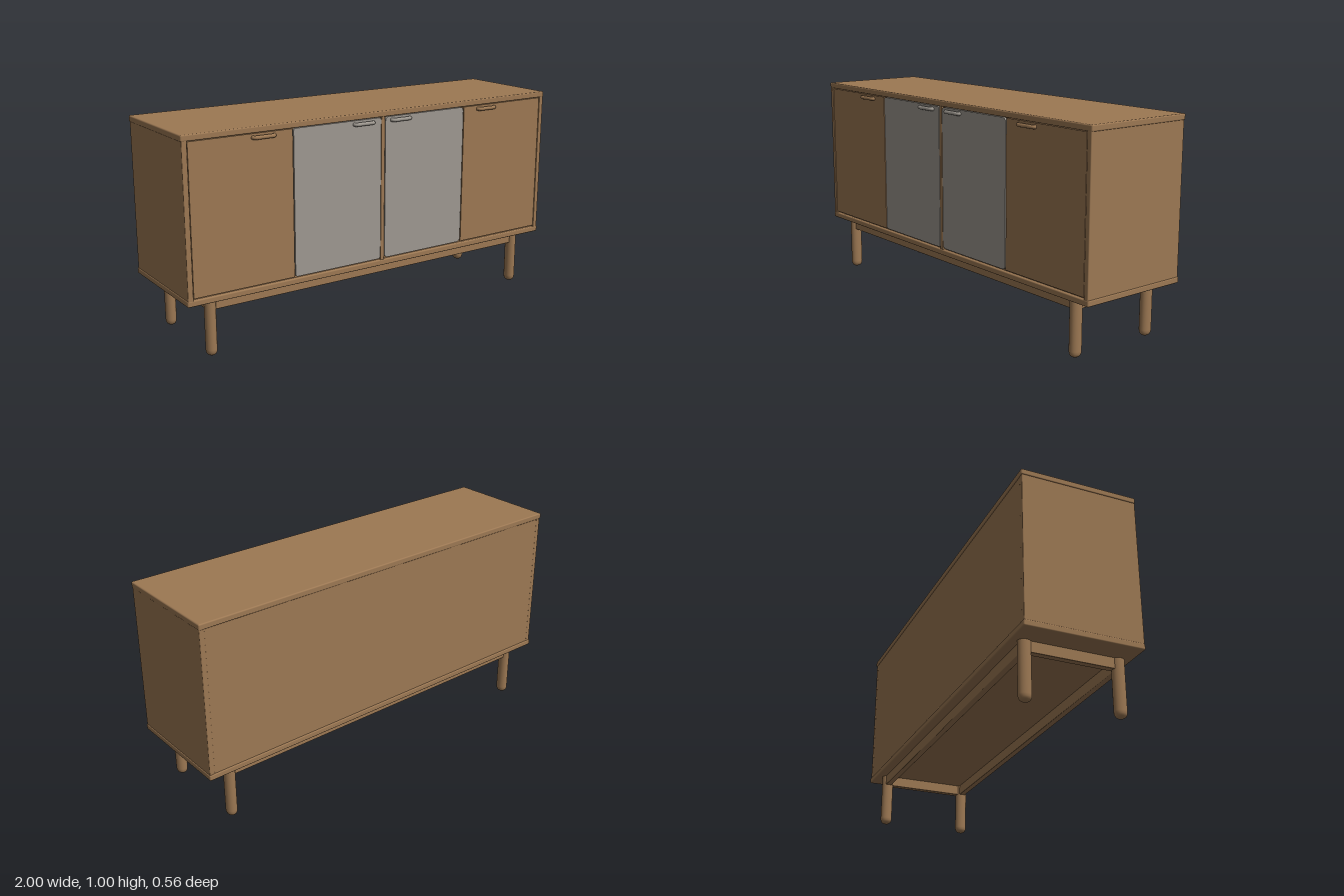
import * as THREE from 'three';
import { RoundedBoxGeometry } from 'three/addons/geometries/RoundedBoxGeometry.js';

const wood = new THREE.MeshStandardMaterial({ color: 0x9c7853 });
wood.name = 'warm wood';
const grey = new THREE.MeshStandardMaterial({ color: 0x9e9890 });
grey.name = 'warm grey';

export function createModel() {
  const model = new THREE.Group();
  model.name = 'sideboard';

  const add = (name, geometry, material, x = 0, y = 0, z = 0) => {
    const mesh = new THREE.Mesh(geometry, material);
    mesh.name = name;
    mesh.position.set(x, y, z);
    model.add(mesh);
    return mesh;
  };
  // Softened box given by its limits on each axis
  const slab = (name, [x0, x1], [y0, y1], [z0, z1], r = 0.004, material = wood) =>
    add(name, new RoundedBoxGeometry(x1 - x0, y1 - y0, z1 - z0, 2, r), material,
      (x0 + x1) / 2, (y0 + y1) / 2, (z0 + z1) / 2);

  // Cabinet shell
  slab('topPanel', [-1, 1], [0.972, 1], [-0.28, 0.264], 0.006);
  slab('bottomPanel', [-1, 1], [0.262, 0.29], [-0.28, 0.264], 0.006);
  for (const s of [-1, 1]) {
    const edges = [s * 0.972, s * 0.997].sort((a, b) => a - b);
    slab('sidePanel', edges, [0.28, 0.98], [-0.276, 0.263]);
  }
  slab('carcass', [-0.98, 0.98], [0.28, 0.98], [-0.275, 0.25]);

  // Doors, with narrow gaps between them; the middle pair has rounded corners
  const door = (name, x0, x1, material, r) => {
    const y0 = 0.297, y1 = 0.97;
    const s = new THREE.Shape();
    s.moveTo(x0 + r, y0);
    s.lineTo(x1 - r, y0);
    s.quadraticCurveTo(x1, y0, x1, y0 + r);
    s.lineTo(x1, y1 - r);
    s.quadraticCurveTo(x1, y1, x1 - r, y1);
    s.lineTo(x0 + r, y1);
    s.quadraticCurveTo(x0, y1, x0, y1 - r);
    s.lineTo(x0, y0 + r);
    s.quadraticCurveTo(x0, y0, x0 + r, y0);
    add(name, new THREE.ExtrudeGeometry(s, { depth: 0.014, bevelEnabled: false, curveSegments: 6 }),
      material, 0, 0, 0.247);
  };
  door('rightOuterDoor', -0.97, -0.477, wood, 0.004);
  door('rightInnerDoor', -0.472, -0.01, grey, 0.012);
  door('leftInnerDoor', 0.015, 0.474, grey, 0.02);
  door('leftOuterDoor', 0.479, 0.97, wood, 0.004);
  slab('centreDivider', [-0.008, 0.012], [0.287, 0.975], [0.24, 0.261], 0.002);

  // Pull handles: bent bars with both ends meeting the door
  const w = 0.05;
  const bend = new THREE.CatmullRomCurve3([
    [-w, 0, -0.018], [-w, 0, -0.006], [-w + 0.008, 0, 0], [0, 0, 0],
    [w - 0.008, 0, 0], [w, 0, -0.006], [w, 0, -0.018],
  ].map((p) => new THREE.Vector3(...p)), false, 'centripetal');
  const handleGeometry = new THREE.TubeGeometry(bend, 36, 0.009, 10);
  for (const [x, material] of [[-0.62, wood], [-0.107, grey], [0.1, grey], [0.615, wood]]) {
    add('handle', handleGeometry, material, x, 0.953, 0.272);
  }

  // Round legs with softened feet, slightly deeper than wide
  const legGeometry = new THREE.LatheGeometry([
    [0, 0], [0.014, 0.002], [0.023, 0.008], [0.028, 0.018], [0.029, 0.03], [0.029, 0.27],
  ].map((p) => new THREE.Vector2(...p)), 24);
  for (const x of [-0.872, 0.87]) {
    for (const z of [0.205, -0.22]) {
      add('leg', legGeometry, wood, x, 0, z).scale.x = 0.87;
    }
    // Side rail between front and back legs
    slab('sideRail', [x - 0.015, x + 0.015], [0.212, 0.266], [-0.22, 0.205], 0.003);
  }

  // Long rails under the cabinet
  for (const z of [0.205, -0.22]) {
    slab('longRail', [-0.87, 0.87], [0.212, 0.266], [z - 0.015, z + 0.015], 0.003);
  }
  return model;
}
